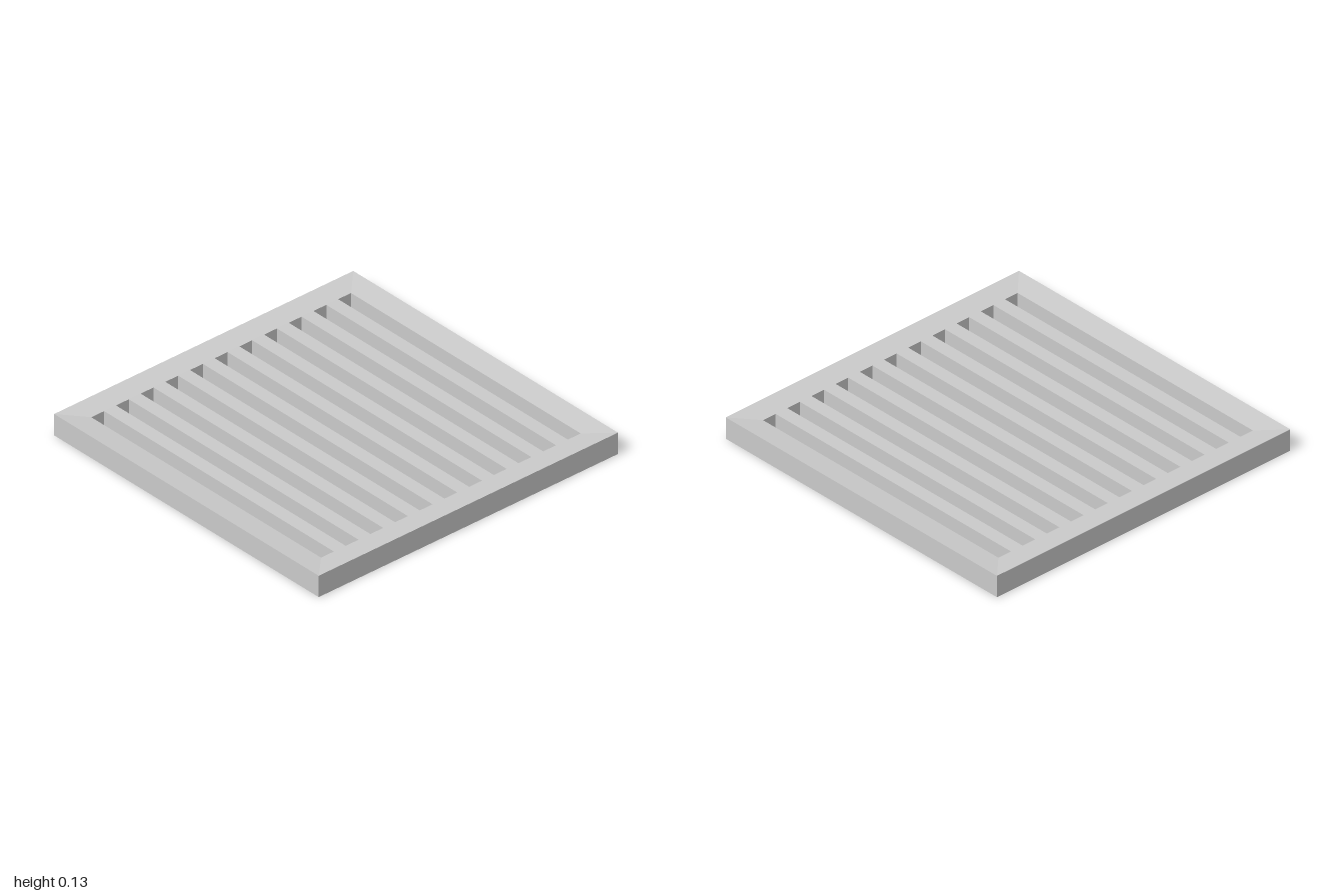
import * as THREE from 'three';

const HEIGHT = 0.127;   // outer rim
const BAR_TOP = 0.115;  // inner edge of the sloping rim and top of the bars
const FLOOR = 0.025;    // bottom of the slots
const INNER = 0.868;    // half size of the slotted area
const SLOTS = 11;
const SLOT_WIDTH = 0.086;

export function createModel() {
  const group = new THREE.Group();
  const material = new THREE.MeshStandardMaterial({ color: 0xcccccc, flatShading: true });

  // Square tray: a four-sided lathe whose rim slopes gently inwards
  const profile = [
    [0, 0], [1, 0], [1, HEIGHT], [INNER, BAR_TOP], [INNER, FLOOR], [0, FLOOR],
  ].map(([r, y]) => new THREE.Vector2(r * Math.SQRT2, y));
  const trayGeometry = new THREE.LatheGeometry(profile, 4).rotateY(Math.PI / 4).toNonIndexed();
  trayGeometry.computeVertexNormals();
  const tray = new THREE.Mesh(trayGeometry, material);
  tray.name = 'tray';
  group.add(tray);

  // Parallel bars, leaving a slot on either side of each
  const bars = new THREE.Group();
  bars.name = 'bars';
  const pitch = (2 * INNER - SLOT_WIDTH) / (SLOTS - 1);
  const barGeometry = new THREE.BoxGeometry(pitch - SLOT_WIDTH, BAR_TOP - FLOOR, 2 * INNER);
  for (let i = 0; i < SLOTS - 1; i++) {
    const bar = new THREE.Mesh(barGeometry, material);
    bar.name = `bar${i + 1}`;
    bar.position.set((i - (SLOTS - 2) / 2) * pitch, (BAR_TOP + FLOOR) / 2, 0);
    bars.add(bar);
  }
  group.add(bars);

  return group;
}
